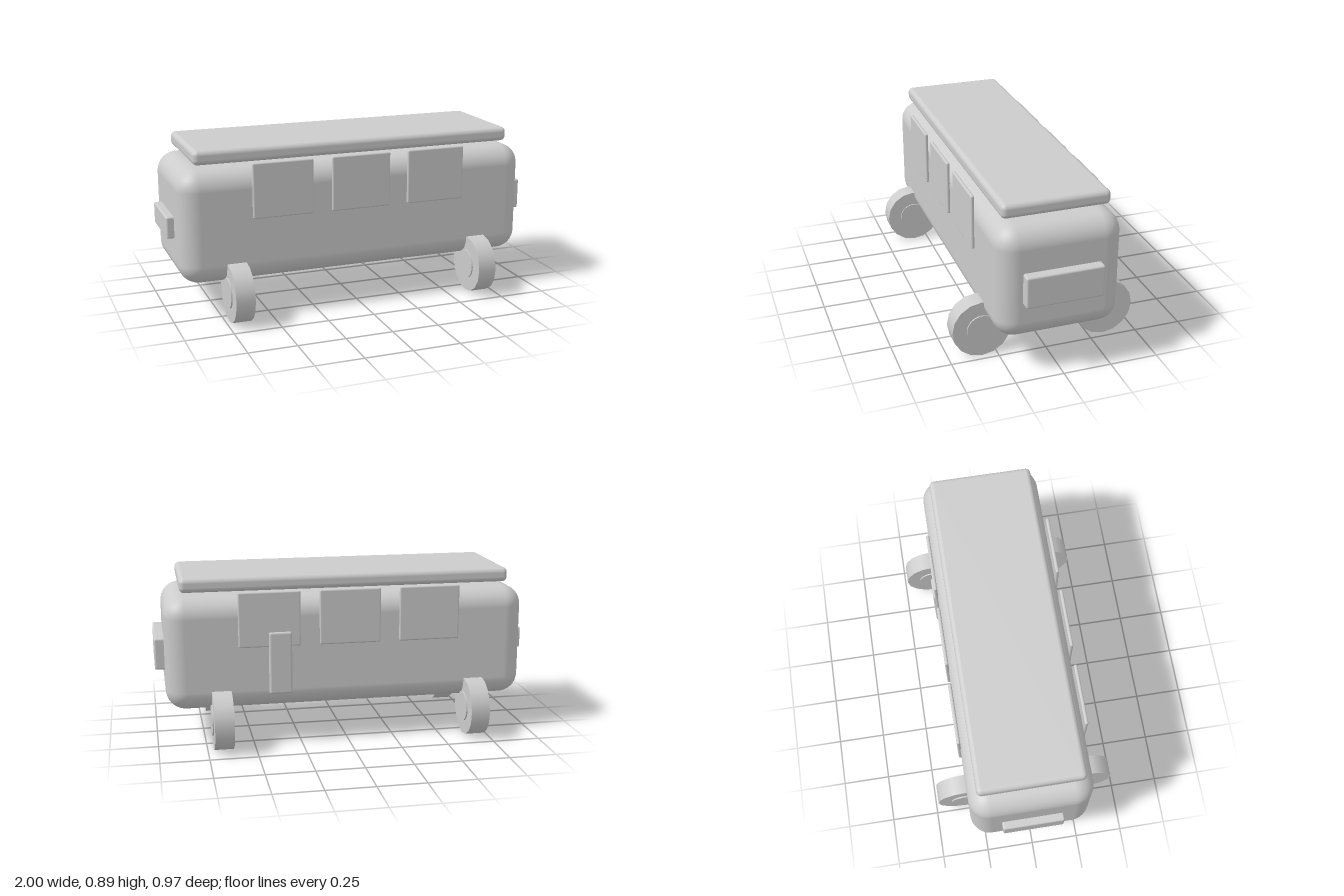
import * as THREE from 'three';
import { RoundedBoxGeometry } from 'three/addons/geometries/RoundedBoxGeometry.js';

export function createModel() {
  const model = new THREE.Group();
  model.name = 'bus';
  const grey = new THREE.MeshStandardMaterial({ color: 0xcccccc });
  grey.name = 'light grey';

  // Rounded box given by its [min, max] extents on each axis
  function block(name, [x0, x1], [y0, y1], [z0, z1], radius, segments = 3) {
    const mesh = new THREE.Mesh(
      new RoundedBoxGeometry(x1 - x0, y1 - y0, z1 - z0, segments, radius), grey);
    mesh.position.set((x0 + x1) / 2, (y0 + y1) / 2, (z0 + z1) / 2);
    mesh.name = name;
    model.add(mesh);
  }

  // Body and the roof panel floating just above it
  block('body', [-0.96, 0.95], [0.195, 0.79], [-0.32, 0.32], 0.105, 6);
  block('roof', [-0.875, 0.865], [0.815, 0.89], [-0.275, 0.277], 0.026, 4);

  // Three windows on each long side
  for (const x of [-0.43, -0.007, 0.415]) {
    block('leftWindow', [x - 0.161, x + 0.161], [0.532, 0.821], [0.318, 0.336], 0.008);
    block('rightWindow', [x - 0.161, x + 0.161], [0.532, 0.821], [-0.334, -0.316], 0.008);
  }

  // Door on the -z side, end panels at both ends
  block('door', [0.3, 0.42], [0.28, 0.61], [-0.344, -0.31], 0.012);
  block('frontPanel', [0.92, 1.0], [0.402, 0.568], [-0.198, 0.2], 0.01);
  block('rearPanel', [-1.0, -0.92], [0.42, 0.535], [-0.163, 0.158], 0.01);

  // Wheels with hubs showing slightly on both faces
  const tyreGeometry = new THREE.CylinderGeometry(0.153, 0.153, 0.1, 16).rotateZ(Math.PI / 2);
  const hubGeometry = new THREE.CylinderGeometry(0.079, 0.079, 0.114, 24).rotateZ(Math.PI / 2);
  for (const x of [-0.68, 0.668]) {
    for (const z of [-0.33, 0.33]) {
      const wheel = new THREE.Group();
      wheel.name = 'wheel';
      const tyre = new THREE.Mesh(tyreGeometry, grey);
      tyre.name = 'tyre';
      const hub = new THREE.Mesh(hubGeometry, grey);
      hub.name = 'hub';
      wheel.add(tyre, hub);
      wheel.position.set(x, 0.154, z);
      model.add(wheel);
    }
  }
  return model;
}
